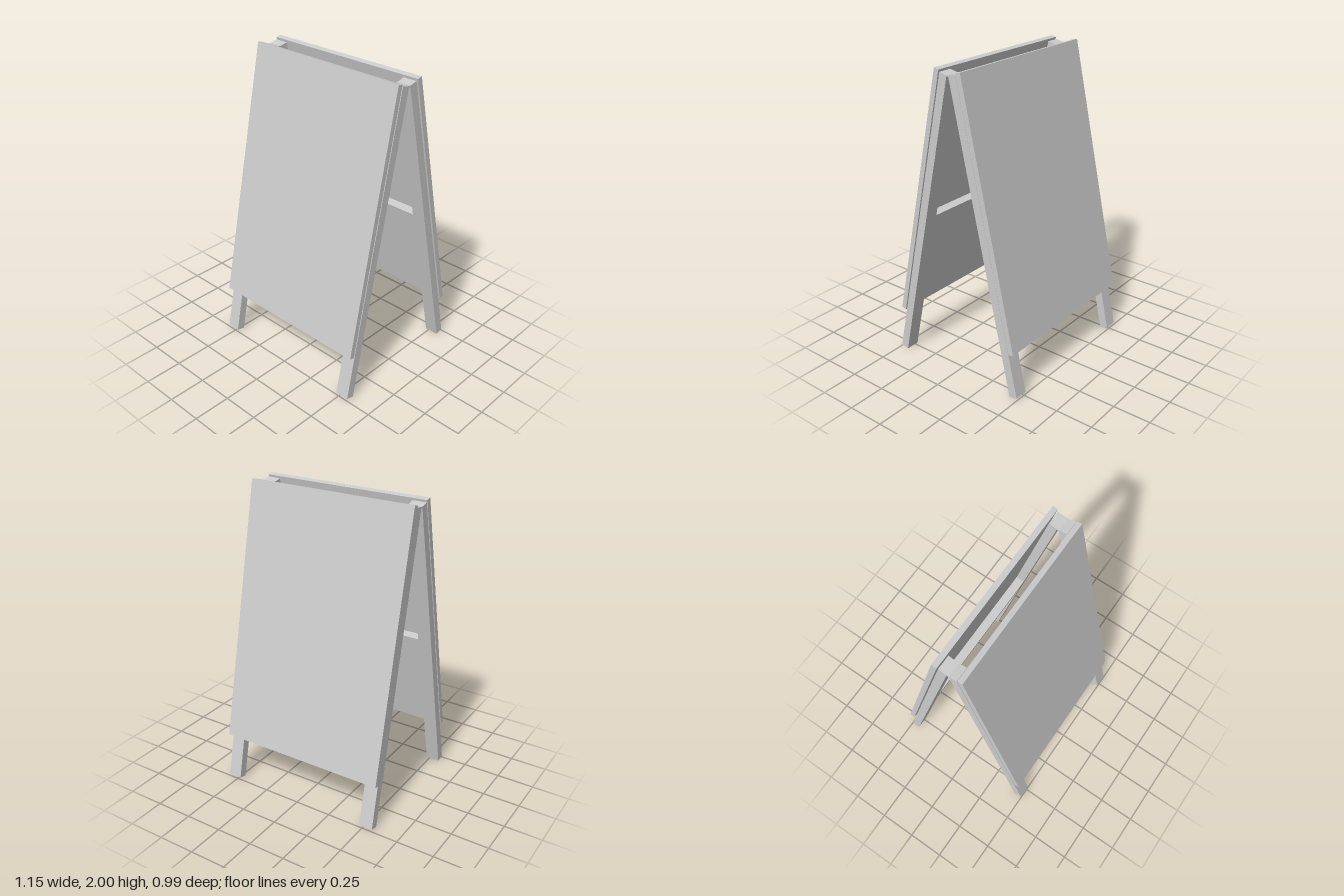
import * as THREE from 'three';

const material = new THREE.MeshStandardMaterial({ color: 0xcccccc, flatShading: true });

// Box given by its minimum and maximum corners
function box(name, [x0, y0, z0], [x1, y1, z1]) {
  const geometry = new THREE.BoxGeometry(x1 - x0, y1 - y0, z1 - z0);
  geometry.translate((x0 + x1) / 2, (y0 + y1) / 2, (z0 + z1) / 2);
  const mesh = new THREE.Mesh(geometry, material);
  mesh.name = name;
  return mesh;
}

const LEG_IN = 0.478, LEG_OUT = 0.57, LEG_DEPTH = 0.056, LEG_LENGTH = 2.016;
const TILT = THREE.MathUtils.degToRad(12.5);

// One leaning side: origin at the outer top edge of the legs, +z outwards
function createSide(name, halfWidth) {
  const side = new THREE.Group();
  side.name = name;
  side.add(
    box('leftLeg', [LEG_IN, -LEG_LENGTH, -LEG_DEPTH], [LEG_OUT, 0, 0]),
    box('rightLeg', [-LEG_OUT, -LEG_LENGTH, -LEG_DEPTH], [-LEG_IN, 0, 0]),
    // Rail between the legs, flush with them
    box('crossRail', [-LEG_IN, -1.09, -LEG_DEPTH], [LEG_IN, -0.965, 0]),
    // Display panel with a narrow gap in front of the legs
    box('panel', [-halfWidth, -1.714, 0.0075], [halfWidth, 0.011, 0.0425])
  );
  side.position.set(0, 1.98, 0.06);
  side.rotation.x = -TILT;
  const pivot = new THREE.Group();
  pivot.name = name + 'Pivot';
  pivot.add(side);
  return pivot;
}

export function createModel() {
  const model = new THREE.Group();
  model.name = 'sandwichBoard';

  const front = createSide('frontSide', 0.571);
  const back = createSide('backSide', 0.576);
  back.rotation.y = Math.PI;
  model.add(front, back);

  // Small hinges joining the leg tops
  model.add(
    box('leftHinge', [LEG_IN, 1.961, -0.007], [LEG_OUT, 1.969, 0.007]),
    box('rightHinge', [-LEG_OUT, 1.961, -0.007], [-LEG_IN, 1.969, 0.007])
  );
  return model;
}
